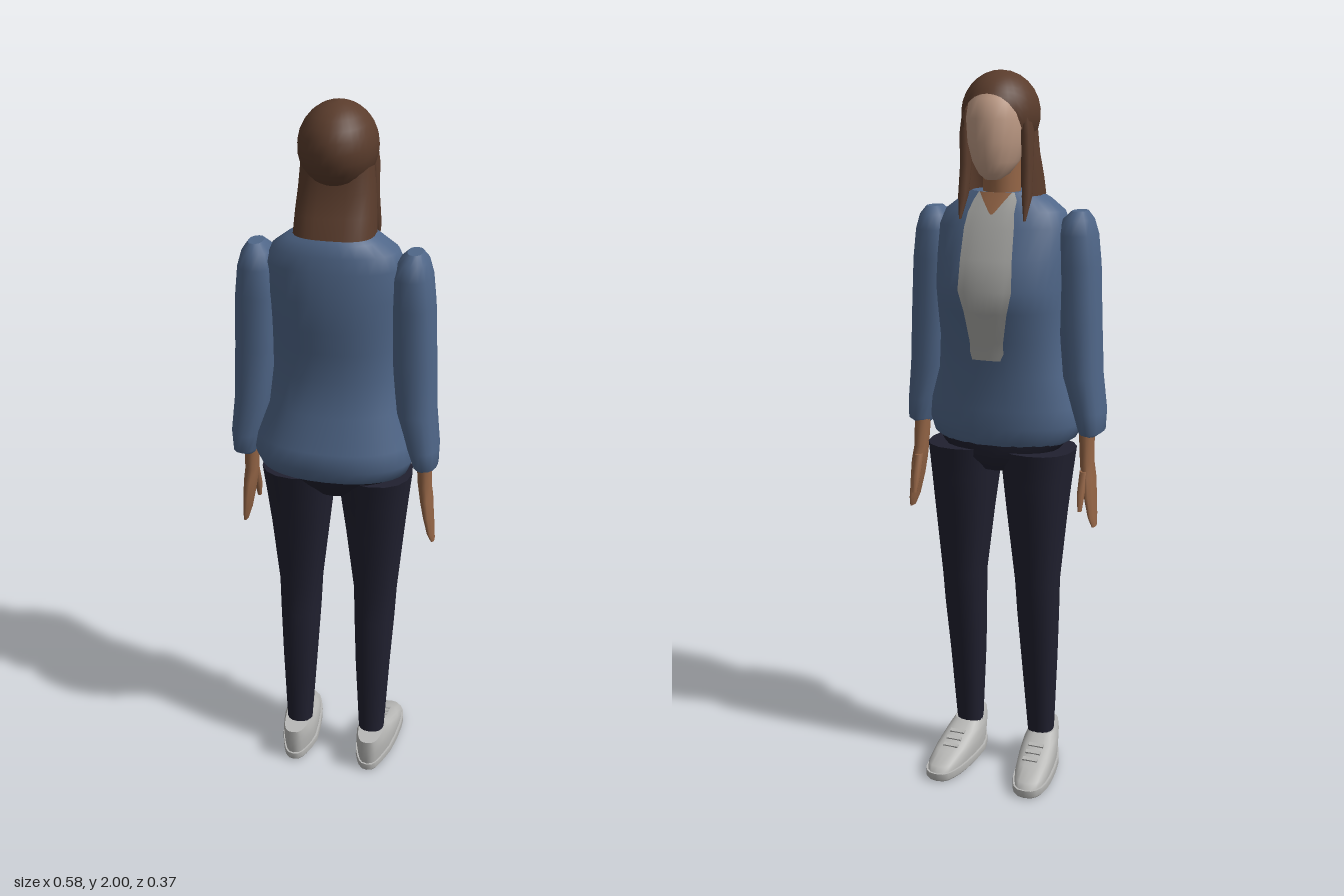
import * as THREE from 'three';

const mat = (name, color, side = THREE.FrontSide) => {
  const m = new THREE.MeshStandardMaterial({ color, side });
  m.name = name;
  return m;
};

// Builds a geometry from a grid of points; closed grids wrap round and get flat caps
function gridGeometry(rows, closed) {
  const n = rows[0].length, pos = rows.flat(2), index = [];
  const cols = closed ? n : n - 1;
  for (let r = 0; r < rows.length - 1; r++) {
    for (let i = 0; i < cols; i++) {
      const a = r * n + i, b = r * n + (i + 1) % n;
      index.push(a, a + n, b, b, a + n, b + n);
    }
  }
  if (closed) {
    [rows[0], rows[rows.length - 1]].forEach((ring, top) => {
      const base = pos.length / 3;
      ring.forEach(p => pos.push(...p));
      pos.push(...[0, 1, 2].map(k => ring.reduce((s, p) => s + p[k], 0) / n));
      for (let i = 0; i < n; i++) {
        const a = base + i, b = base + (i + 1) % n;
        index.push(base + n, top ? b : a, top ? a : b);
      }
    });
  }
  const g = new THREE.BufferGeometry();
  g.setAttribute('position', new THREE.Float32BufferAttribute(pos, 3));
  g.setIndex(index);
  g.computeVertexNormals();
  return g;
}

const power = (v, e) => Math.sign(v) * Math.abs(v) ** (2 / e);

// Rounded ring through [y, xMin, xMax, zFront, zBack]
function ring([y, x0, x1, z0, z1], sides, e, from = 0, to = Math.PI * 2, open = false) {
  const pts = [];
  for (let i = 0; i < sides + (open ? 1 : 0); i++) {
    const t = from + (to - from) * i / sides;
    pts.push([(x0 + x1) / 2 + (x1 - x0) / 2 * power(Math.cos(t), e), y,
      (z0 + z1) / 2 + (z1 - z0) / 2 * power(Math.sin(t), e)]);
  }
  return pts;
}
const loft = (rows, sides = 16, e = 2) => gridGeometry(rows.map(r => ring(r, sides, e)), true);

// Jacket sections, bottom to top
const torso = [
  [1.00, -0.17, 0.17, -0.08, 0.13], [1.02, -0.205, 0.205, -0.092, 0.168],
  [1.06, -0.22, 0.22, -0.097, 0.186], [1.11, -0.215, 0.215, -0.097, 0.18],
  [1.20, -0.185, 0.185, -0.096, 0.146], [1.30, -0.175, 0.175, -0.108, 0.134],
  [1.38, -0.178, 0.178, -0.126, 0.14], [1.44, -0.18, 0.18, -0.137, 0.146],
  [1.52, -0.182, 0.182, -0.116, 0.152], [1.60, -0.182, 0.182, -0.084, 0.146],
  [1.64, -0.165, 0.165, -0.066, 0.138], [1.67, -0.125, 0.125, -0.05, 0.13],
  [1.69, -0.09, 0.09, -0.04, 0.11]];
const TORSO_E = 2.2;

// Thin panel lying on the front of the jacket, through [y, left edge, right edge]
function frontPanel(rows, gap) {
  return gridGeometry(rows.map(([y, xl, xr]) => {
    const k = Math.max(1, torso.findIndex(r => r[0] >= y));
    const a = torso[k - 1], b = torso[k], f = (y - a[0]) / (b[0] - a[0]);
    const [, , rx, z0, z1] = a.map((v, i) => v + (b[i] - v) * f);
    return Array.from({ length: 9 }, (_, i) => {
      const x = xl + (xr - xl) * i / 8, u = Math.min(1, Math.abs(x) / rx);
      return [x, y, (z0 + z1) / 2 - (z1 - z0) / 2 * (1 - u ** TORSO_E) ** (1 / TORSO_E) - gap];
    });
  }), false);
}

// Hair cap: a dome whose lower edge rises above the face
function hairCap() {
  const edge = [[-1, 2.6], [0, 2.35], [0.5, 2.05], [0.72, 1.5], [0.88, 1.22], [1, 1.08]];
  const rows = [];
  for (let r = 10; r >= 0; r--) {
    const row = [];
    for (let i = 0; i <= 32; i++) {
      const t = i / 32 * Math.PI * 2, front = -Math.sin(t);
      const k = Math.max(1, edge.findIndex(p => p[0] >= front));
      const [a, b] = [edge[k - 1], edge[k]];
      const end = a[1] + (b[1] - a[1]) * (front - a[0]) / (b[0] - a[0]);
      const p = end * r / 10;
      row.push([0.102 * Math.sin(p) * Math.cos(t), 1.89 + 0.11 * Math.cos(p), 0.12 * Math.sin(p) * Math.sin(t)]);
    }
    rows.push(row);
  }
  return gridGeometry(rows, false);
}

export function createModel() {
  const root = new THREE.Group();
  root.name = 'standingPerson';
  const jacket = mat('jacket blue', 0x4f6688);
  const trousers = mat('trouser navy', 0x20202f);
  const hair = mat('hair brown', 0x5a3c2c, THREE.DoubleSide);
  const face = mat('face skin', 0xc09c86);
  const skin = mat('hand skin', 0x946546, THREE.DoubleSide);
  const shirt = mat('shirt grey', 0xa9a9a6, THREE.DoubleSide);
  const shoe = mat('shoe grey', 0xb9b9b7);

  const add = (name, geometry, material, parent = root) => {
    const m = new THREE.Mesh(geometry, material);
    m.name = name;
    parent.add(m);
    return m;
  };

  // Jacket body, shirt front and neckline
  add('jacketBody', loft(torso, 32, TORSO_E), jacket);
  add('shirtFront', frontPanel([
    [1.25, -0.035, 0.045], [1.27, -0.045, 0.05], [1.30, -0.045, 0.05], [1.38, -0.06, 0.06], [1.44, -0.075, 0.075],
    [1.52, -0.07, 0.075], [1.60, -0.065, 0.075], [1.64, -0.06, 0.07], [1.67, -0.06, 0.06], [1.69, -0.05, 0.05]], 0.004), shirt);
  add('neckline', frontPanel([
    [1.635, -0.002, 0.002], [1.64, -0.008, 0.008], [1.67, -0.03, 0.03], [1.69, -0.045, 0.045]], 0.008), skin);

  // Head
  add('neck', loft([[1.62, -0.055, 0.055, -0.045, 0.06], [1.70, -0.05, 0.05, -0.045, 0.06],
    [1.80, -0.05, 0.05, -0.05, 0.06]]), skin);
  add('face', loft([
    [1.725, -0.02, 0.02, -0.085, -0.04], [1.74, -0.04, 0.04, -0.102, 0],
    [1.77, -0.06, 0.06, -0.116, 0.04], [1.82, -0.076, 0.076, -0.126, 0.07],
    [1.88, -0.084, 0.084, -0.122, 0.09], [1.93, -0.078, 0.078, -0.108, 0.09],
    [1.97, -0.05, 0.05, -0.06, 0.06]], 20), face);

  // Hair: cap, long back curtain and pointed strands beside the face
  add('hairCap', hairCap(), hair);
  add('hairBack', gridGeometry([
    [1.68, -0.106, 0.106, -0.05, 0.122], [1.73, -0.103, 0.103, -0.05, 0.105],
    [1.79, -0.098, 0.098, -0.05, 0.078], [1.87, -0.09, 0.09, -0.05, 0.075]
  ].map(r => ring(r, 18, 2.8, -0.6, Math.PI + 0.6, true)), false), hair);

  for (const [side, s] of [['left', 1], ['right', -1]]) {
    // Mirrors the sections for the other side of the body
    const mirrored = rows => s > 0 ? rows : rows.map(([y, a, b, c, d]) => [y, -b, -a, c, d]);
    const part = (name, rows, material, sides, e) => add(side + name, loft(mirrored(rows), sides, e), material);

    part('HairStrand', [
      [1.62, 0.087, 0.093, -0.075, -0.065], [1.68, 0.075, 0.103, -0.066, -0.03],
      [1.76, 0.072, 0.1, -0.06, -0.01], [1.84, 0.07, 0.1, -0.065, 0], [1.90, 0.07, 0.092, -0.06, 0]], hair, 8);

    // Sleeve
    part('Sleeve', [
      [1.03, 0.225, 0.265, -0.005, 0.075], [1.045, 0.218, 0.286, -0.022, 0.1], [1.10, 0.2, 0.288, -0.026, 0.11],
      [1.20, 0.17, 0.278, -0.03, 0.105], [1.35, 0.155, 0.272, -0.03, 0.102], [1.50, 0.15, 0.265, -0.032, 0.11],
      [1.58, 0.152, 0.256, -0.03, 0.11], [1.62, 0.165, 0.244, -0.022, 0.1], [1.642, 0.188, 0.228, 0.005, 0.075]], jacket, 16, 2.3);

    // Hand with thumb
    part('Hand', [
      [0.78, 0.268, 0.28, -0.015, 0.02], [0.81, 0.258, 0.278, -0.03, 0.04], [0.87, 0.245, 0.274, -0.035, 0.052],
      [0.92, 0.235, 0.272, -0.03, 0.05], [0.96, 0.228, 0.268, -0.015, 0.04], [1.06, 0.222, 0.265, -0.015, 0.05]], skin, 10);
    part('Thumb', [
      [0.835, 0.24, 0.252, -0.056, -0.038], [0.88, 0.234, 0.256, -0.05, -0.02],
      [0.94, 0.234, 0.258, -0.028, 0.005]], skin, 8);

    // Trouser leg
    part('Leg', [
      [0.10, 0.075, 0.15, 0.002, 0.076], [0.35, 0.06, 0.162, -0.032, 0.078], [0.50, 0.052, 0.17, -0.052, 0.067],
      [0.60, 0.048, 0.174, -0.062, 0.06], [0.80, 0.025, 0.192, -0.082, 0.083],
      [0.90, 0.013, 0.202, -0.09, 0.1], [0.99, 0.004, 0.212, -0.096, 0.115]], trousers, 16, 2.3);

    // Shoe: sole, upper and laces, with the toe turned slightly outwards
    const toe = z => 0.115 + 0.02 * THREE.MathUtils.clamp((0.05 - z) / 0.2, 0, 1);
    const shoeGeometry = rows => {
      const g = loft(rows, 24, 2.7), p = g.attributes.position;
      for (let i = 0; i < p.count; i++) {
        const z = p.getZ(i), narrow = 1 - 0.25 * THREE.MathUtils.smoothstep(z, 0, 0.13);
        p.setX(i, s * (p.getX(i) * s * narrow + toe(z)));
      }
      g.computeVertexNormals();
      return g;
    };
    add(side + 'Sole', shoeGeometry([
      [0, -0.052, 0.052, -0.18, 0.122], [0.008, -0.058, 0.058, -0.187, 0.128], [0.026, -0.057, 0.057, -0.187, 0.128]]), shoe);
    add(side + 'ShoeUpper', shoeGeometry([
      [0.024, -0.051, 0.051, -0.183, 0.122], [0.042, -0.053, 0.053, -0.172, 0.126], [0.065, -0.053, 0.053, -0.12, 0.128],
      [0.09, -0.05, 0.05, -0.045, 0.13], [0.112, -0.043, 0.043, 0, 0.13]]), shoe);
    for (let i = 0; i < 3; i++) {
      const lace = add(side + 'Lace' + (i + 1), new THREE.BoxGeometry(0.045, 0.006, 0.012), shoe);
      lace.position.set(s * toe(-0.04), 0.093 - i * 0.009, -0.04 - i * 0.027);
      lace.rotation.x = -0.33;
    }
  }

  // Hips joining the legs
  add('hips', loft([[0.93, -0.06, 0.06, -0.06, 0.08], [0.97, -0.15, 0.15, -0.085, 0.11],
    [1.02, -0.19, 0.19, -0.085, 0.14]], 20, 2.3), trousers);

  return root;
}
